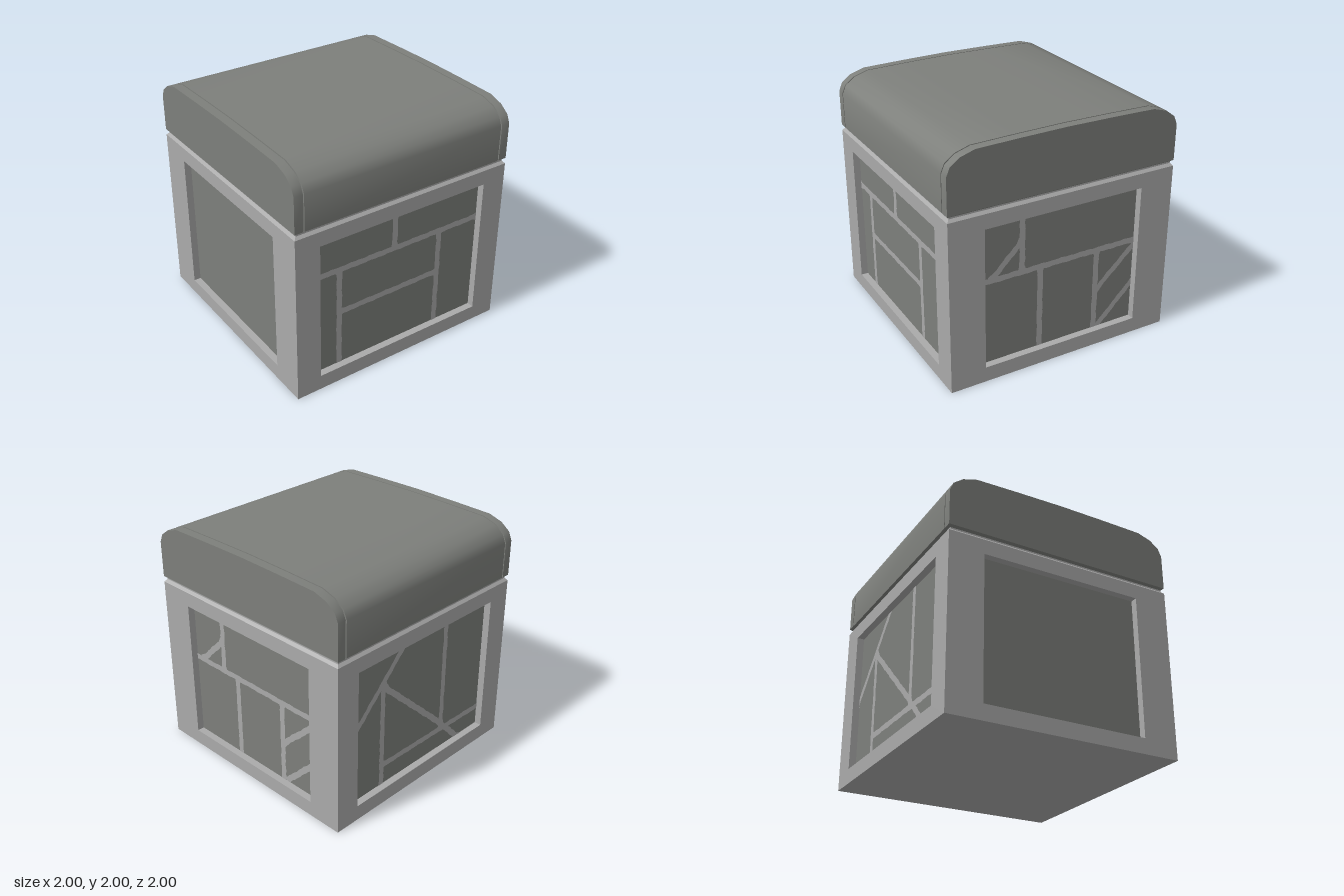
import * as THREE from 'three';
import { toCreasedNormals } from 'three/addons/utils/BufferGeometryUtils.js';

const SIDE = 1;          // half width of the block
const RECESS = 0.06;     // depth of the sunken panels
const BODY_TOP = 1.465;
const PANEL_Y = [0.13, 1.34];

const frameMat = new THREE.MeshStandardMaterial({ color: 0xaaaaaa });
frameMat.name = 'pale stone';
const stoneMat = new THREE.MeshStandardMaterial({ color: 0x7d7f7b });
stoneMat.name = 'dark stone';

function add(parent, name, geometry, material) {
  const mesh = new THREE.Mesh(geometry, material);
  mesh.name = name;
  parent.add(mesh);
  return mesh;
}

// Square tapered slab between two heights
function squareTaper(bottomHalf, topHalf, y0, y1) {
  const g = new THREE.CylinderGeometry(topHalf * Math.SQRT2, bottomHalf * Math.SQRT2, y1 - y0, 4);
  g.rotateY(Math.PI / 4).translate(0, (y0 + y1) / 2, 0);
  return toCreasedNormals(g, 0.1);
}

// Rectangular frame with a panel opening, outer face at z = 1
function frameGeometry(halfWidth, halfHole) {
  const [b, t] = PANEL_Y;
  const shape = new THREE.Shape([
    [-halfWidth, 0], [halfWidth, 0], [halfWidth, BODY_TOP], [-halfWidth, BODY_TOP],
  ].map(p => new THREE.Vector2(...p)));
  shape.holes.push(new THREE.Path([
    [-halfHole, b], [-halfHole, t], [halfHole, t], [halfHole, b],
  ].map(p => new THREE.Vector2(...p))));
  return new THREE.ExtrudeGeometry(shape, { depth: RECESS, bevelEnabled: false })
    .translate(0, 0, SIDE - RECESS);
}

// Slightly ragged mortar strip from (x0, y0) to (x1, y1), kept inside the panel
function mortarGeometry([x0, y0, x1, y1], halfHole, seed) {
  const a = new THREE.Vector2(x0, y0);
  const dir = new THREE.Vector2(x1, y1).sub(a);
  const length = dir.length();
  dir.normalize();
  const normal = new THREE.Vector2(-dir.y, dir.x);
  const steps = Math.max(6, Math.round(length / 0.025));
  const left = [], right = [];
  for (let i = 0; i <= steps; i++) {
    const d = (i / steps) * length;
    const flare = 0.014 * Math.max(0, 1 - Math.min(d, length - d) / 0.05);
    [[1, left], [-1, right]].forEach(([s, list]) => {
      const wobble = 0.002 * (Math.sin(d * 31 + seed * 2.3 + s) + Math.sin(d * 73 + seed + s * 2));
      const p = a.clone().addScaledVector(dir, d).addScaledVector(normal, s * (0.025 + flare + wobble));
      p.x = THREE.MathUtils.clamp(p.x, -halfHole, halfHole);
      p.y = THREE.MathUtils.clamp(p.y, ...PANEL_Y);
      list.push(p);
    });
  }
  return new THREE.ShapeGeometry(new THREE.Shape([...left, ...right.reverse()]))
    .translate(0, 0, SIDE - RECESS + 0.003);
}

// Rounded lid section swept along x
function lidGeometry(x0, x1, inset = 0) {
  const half = [[1, 1.515], [1, 1.82], [0.97, 1.89], [0.89, 1.95], [0.77, 1.987], [0.4, 1.995]];
  const pts = [...half, [0, 2], ...half.map(([z, y]) => [-z, y]).reverse()]
    .map(([z, y]) => new THREE.Vector2(z * (1 - inset), y > 1.6 ? y - inset : y));
  const g = new THREE.ExtrudeGeometry(new THREE.Shape(pts), { depth: x1 - x0, bevelEnabled: false });
  g.rotateY(Math.PI / 2).translate(x0, 0, 0);
  return toCreasedNormals(g, 0.6);
}

export function createModel() {
  const model = new THREE.Group();
  model.name = 'stoneBlock';

  // Inner block: its sides are the sunken panels
  const core = SIDE - RECESS;
  const coreGeo = new THREE.BoxGeometry(core * 2, BODY_TOP, core * 2).translate(0, BODY_TOP / 2, 0);
  add(model, 'panelCore', coreGeo, [stoneMat, stoneMat, frameMat, frameMat, stoneMat, stoneMat]);

  // Four faces; strips are [x0, y0, x1, y1] as seen facing each panel
  const faces = [
    { name: 'front', turn: 0, half: 1, hole: 0.785, strips: [
      [-0.8, 1.022, 0.8, 1.016], [-0.053, 1.02, -0.053, 1.38], [-0.575, 0.08, -0.575, 1.02],
      [0.395, 0.08, 0.395, 1.02], [-0.575, 0.625, 0.395, 0.625]] },
    { name: 'leftSide', turn: Math.PI / 2, half: core, hole: 0.7, strips: [
      [-0.75, 0.857, 0.75, 0.857], [-0.35, 0.86, -0.35, 1.4], [-0.62, 0.86, -0.35, 1.13],
      [-0.185, 0.08, -0.185, 0.86], [0.338, 0.08, 0.338, 0.86],
      [0.34, 0.48, 0.72, 0.83], [0.36, 0.12, 0.75, 0.51]] },
    { name: 'back', turn: Math.PI, half: 1, hole: 0.785, strips: [
      [-0.82, 0.71, -0.16, 1.38], [-0.45, 0.08, -0.45, 1.08], [-0.44, 1.04, 0.29, 0.36],
      [0.285, 0.32, 0.285, 1.4], [-0.45, 0.315, 0.82, 0.305], [0.28, 0.36, 0.54, 0.1]] },
    { name: 'rightSide', turn: -Math.PI / 2, half: core, hole: 0.7, strips: [] },
  ];
  for (const { name, turn, half, hole, strips } of faces) {
    const face = new THREE.Group();
    face.name = name + 'Face';
    face.rotation.y = turn;
    add(face, name + 'Frame', frameGeometry(half, hole), frameMat);
    strips.forEach((s, i) => add(face, name + 'Mortar', mortarGeometry(s, hole, i + 1), frameMat));
    model.add(face);
  }

  // Chamfered shoulder and narrow neck below the lid
  add(model, 'shoulder', squareTaper(1, 0.98, BODY_TOP, 1.487), frameMat);
  add(model, 'neck', squareTaper(0.98, 0.98, 1.487, 1.5), frameMat);

  // Lid: underside bevel, middle, two end bands and the core seen in the grooves
  const lid = new THREE.Group();
  lid.name = 'lid';
  add(lid, 'lidBevel', squareTaper(0.98, 1, 1.5, 1.515), stoneMat);
  add(lid, 'lidGrooveCore', lidGeometry(-0.95, 0.95, 0.012), stoneMat);
  add(lid, 'lidMiddle', lidGeometry(-0.915, 0.915), stoneMat);
  add(lid, 'lidEndLeft', lidGeometry(0.925, 1), stoneMat);
  add(lid, 'lidEndRight', lidGeometry(-1, -0.925), stoneMat);
  model.add(lid);

  return model;
}
